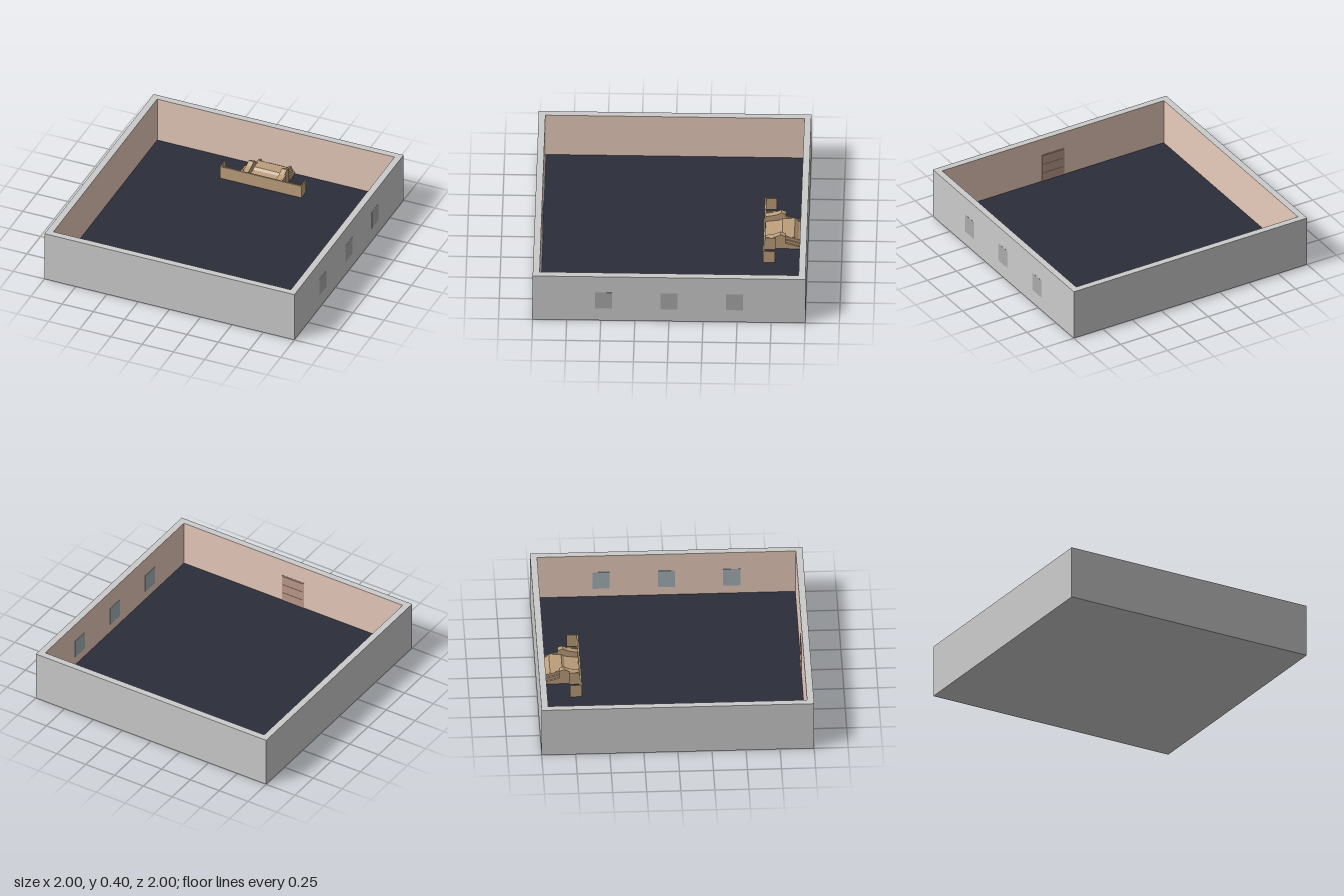
import * as THREE from 'three';

const FLOOR = 0.04, HEIGHT = 0.4, INNER = 0.95;
const mat = (color) => new THREE.MeshStandardMaterial({ color });

export function createModel() {
  const model = new THREE.Group();
  const grey = mat(0xcccccc), plaster = mat(0xe8ccbc), navy = mat(0x2b2d3a);
  const tan = mat(0xbc9f7b), brown = mat(0xbd9a8c), pane = mat(0xaaaaaa), glass = mat(0xa4b2b4);

  const add = (name, geometry, material, parent = model) => {
    const mesh = new THREE.Mesh(geometry, material);
    mesh.name = name;
    parent.add(mesh);
    return mesh;
  };
  // Box given by its lower and upper limits on each axis
  const box = (name, [x0, x1], [y0, y1], [z0, z1], material, parent) => {
    const mesh = add(name, new THREE.BoxGeometry(x1 - x0, y1 - y0, z1 - z0), material, parent);
    mesh.position.set((x0 + x1) / 2, (y0 + y1) / 2, (z0 + z1) / 2);
    return mesh;
  };

  // Outer walls as one square ring, standing on a base slab
  const ring = new THREE.Shape([[-1, -1], [1, -1], [1, 1], [-1, 1]].map((p) => new THREE.Vector2(...p)));
  ring.holes.push(new THREE.Path(
    [[-1, -1], [-1, 1], [1, 1], [1, -1]].map(([x, y]) => new THREE.Vector2(x * INNER, y * INNER))));
  const wallGeometry = new THREE.ExtrudeGeometry(ring, { depth: HEIGHT, bevelEnabled: false });
  wallGeometry.rotateX(-Math.PI / 2);
  add('outerWalls', wallGeometry, grey);
  box('baseSlab', [-INNER, INNER], [0, FLOOR - 0.003], [-INNER, INNER], grey);
  box('floor', [-INNER, INNER], [FLOOR - 0.003, FLOOR], [-INNER, INNER], navy);

  // Plaster lining on the four inside faces
  for (let i = 0; i < 4; i++) {
    const lining = add('wallLining', new THREE.PlaneGeometry(2 * INNER, HEIGHT - FLOOR), plaster);
    const angle = i * Math.PI / 2, d = INNER - 0.002;
    lining.rotation.y = angle;
    lining.position.set(-Math.sin(angle) * d, (HEIGHT + FLOOR) / 2, -Math.cos(angle) * d);
  }

  // Three windows through the left wall
  for (const z of [-0.48, 0, 0.48]) {
    const win = new THREE.Group();
    win.name = 'window';
    model.add(win);
    box('outerPane', [0.96, 1.001], [0.11, 0.255], [z - 0.063, z + 0.063], pane, win);
    box('innerPane', [0.944, 0.96], [0.11, 0.255], [z - 0.063, z + 0.063], glass, win);
  }

  // Door on the inside of the front wall, in three panels
  const door = new THREE.Group();
  door.name = 'door';
  model.add(door);
  box('doorLeaf', [-0.095, 0.095], [FLOOR, 0.265], [0.945, INNER], brown, door);
  for (let i = 0; i < 3; i++) {
    const y = FLOOR + 0.008 + i * 0.073;
    box('doorPanel', [-0.088, 0.088], [y, y + 0.063], [0.943, 0.946], brown, door);
  }

  // Bench and counter against the back wall
  const counter = new THREE.Group();
  counter.name = 'counter';
  model.add(counter);
  box('counterFront', [-0.325, 0.325], [FLOOR, 0.142], [-0.687, -0.675], tan, counter);

  // Extrude a (z, y) profile across the width x0..x1
  const sweep = (name, points, x0, x1) => {
    const shape = new THREE.Shape(points.map(([z, y]) => new THREE.Vector2(-z, y)));
    const geometry = new THREE.ExtrudeGeometry(shape, { depth: x1 - x0, bevelEnabled: false });
    geometry.rotateY(Math.PI / 2);
    geometry.translate(x0, 0, 0);
    add(name, geometry, tan, counter);
  };
  sweep('benchSeat', [[-0.687, FLOOR], [-0.687, 0.085], [-0.72, 0.09], [-0.79, 0.1], [-0.81, 0.115],
    [-0.9, 0.115], [-0.93, 0.09], [-0.949, 0.08], [-0.949, FLOOR]], -0.112, 0.112);

  for (const side of [-1, 1]) {
    const span = (a, b) => (side > 0 ? [a, b] : [-b, -a]);
    box('counterEnd', span(0.317, 0.325), [FLOOR, 0.142], [-0.762, -0.687], tan, counter);
    box('counterRib', span(0.153, 0.165), [FLOOR, 0.142], [-0.762, -0.687], tan, counter);
    // Sloping arm with stepped slats behind it
    sweep('arm', [[-0.687, FLOOR], [-0.687, 0.13], [-0.76, 0.145], [-0.8, 0.165],
      [-0.835, 0.15], [-0.835, FLOOR]], ...span(0.112, 0.153));
    for (let i = 0; i < 3; i++) {
      const x = 0.112 + i * 0.015, top = 0.13 - i * 0.02;
      sweep('armSlat', [[-0.835, FLOOR], [-0.835, top], [-0.949, top - 0.035], [-0.949, FLOOR]],
        ...span(x, x + 0.013));
    }
  }
  return model;
}
